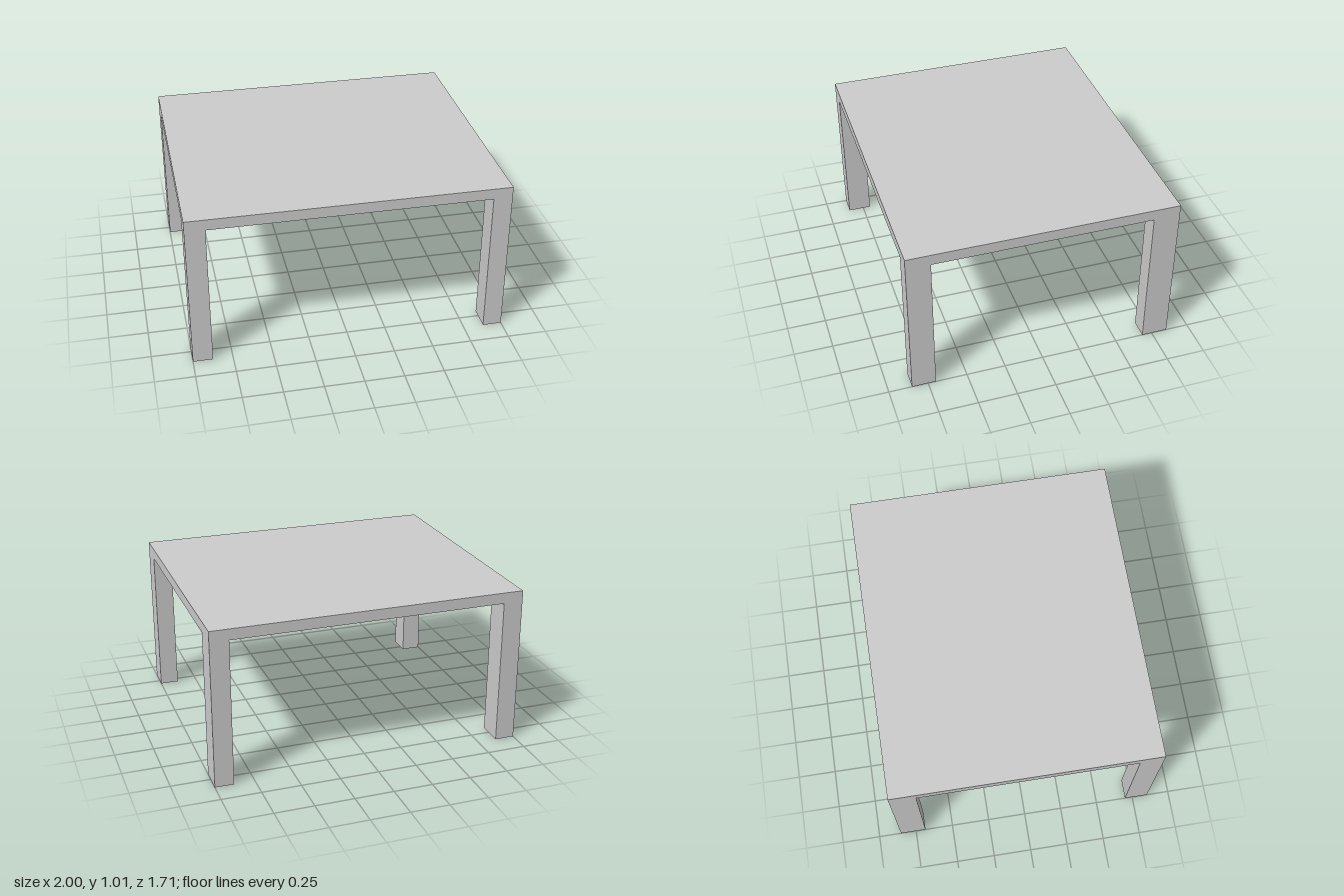
import * as THREE from 'three';

const TOP = 1.015;        // full height
const UNDER = 0.945;      // underside of the tabletop
const HALF_X = 1;
const HALF_Z = 0.853;

export function createModel() {
  const table = new THREE.Group();
  table.name = 'table';
  const material = new THREE.MeshStandardMaterial({ color: 0xcccccc });

  const addBox = (name, w, h, d, x, y, z) => {
    const mesh = new THREE.Mesh(new THREE.BoxGeometry(w, h, d), material);
    mesh.name = name;
    mesh.position.set(x, y, z);
    table.add(mesh);
  };

  // Tabletop slab
  addBox('tabletop', 2 * HALF_X, TOP - UNDER, 2 * HALF_Z, 0, (TOP + UNDER) / 2, 0);

  // Four corner legs, flush with the tabletop edges; the back pair is slightly deeper
  for (const [endName, sz, depth] of [['front', 1, 0.153], ['back', -1, 0.168]]) {
    for (const [sideName, sx, width] of [['Left', 1, 0.12], ['Right', -1, 0.126]]) {
      addBox(`${endName}${sideName}Leg`, width, UNDER, depth,
        sx * (HALF_X - width / 2), UNDER / 2, sz * (HALF_Z - depth / 2));
    }
  }
  return table;
}
